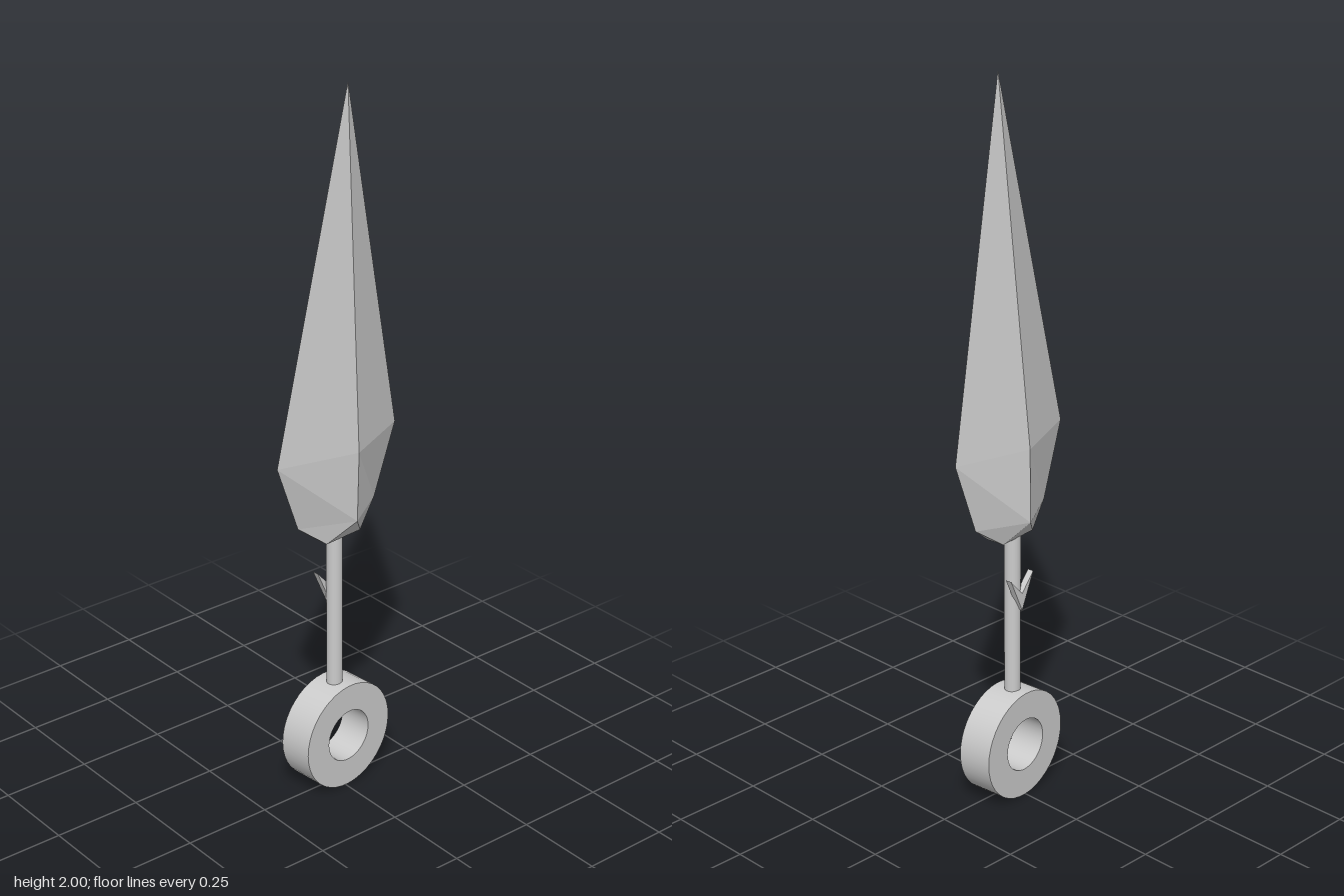
import * as THREE from 'three';
import { toCreasedNormals } from 'three/addons/utils/BufferGeometryUtils.js';

const TWIST = 0.095; // whole knife is turned slightly about y

// Diamond-section blade: tip, two diamond rings, then a rectangular base
function bladeGeometry() {
  // each ring runs +x ridge, +z edge, -x ridge, -z edge
  const tip = [0.035, 2, -0.008];
  const wide = [[0.077, 1.02, -0.013], [0.024, 1.02, 0.213], [-0.068, 1.02, 0.004], [-0.017, 1.02, -0.214]];
  const low = [[0.07, 0.82, -0.014], [0.008, 0.82, 0.135], [-0.079, 0.82, -0.004], [-0.018, 0.82, -0.145]];
  const base = [[0.031, 0.76, 0.057], [-0.021, 0.76, 0.062], [-0.034, 0.76, -0.06], [0.02, 0.76, -0.065]];
  const tris = [];
  for (let i = 0; i < 4; i++) {
    const j = (i + 1) % 4, p = (i + 3) % 4;
    tris.push(wide[i], tip, wide[j]);
    tris.push(low[i], wide[i], wide[j], low[i], wide[j], low[j]);
    tris.push(base[i], low[i], low[j], base[p], low[i], base[i]);
  }
  tris.push(base[0], base[1], base[2], base[0], base[2], base[3]);
  const g = new THREE.BufferGeometry();
  g.setAttribute('position', new THREE.Float32BufferAttribute(tris.flat(), 3));
  g.computeVertexNormals();
  return g;
}

// Flat-sided ring with its axis along x
function ringGeometry(outer, inner, half) {
  const profile = [[outer, -half], [outer, half], [inner, half], [inner, -half], [outer, -half]]
    .map(([r, y]) => new THREE.Vector2(r, y));
  const g = new THREE.LatheGeometry(profile, 40).rotateZ(Math.PI / 2);
  return toCreasedNormals(g, 0.6);
}

export function createModel() {
  const group = new THREE.Group();
  const smooth = new THREE.MeshStandardMaterial({ color: 0xcccccc });
  const faceted = new THREE.MeshStandardMaterial({ color: 0xcccccc, flatShading: true });

  const add = (name, geometry, material, x, y, z) => {
    const mesh = new THREE.Mesh(geometry, material);
    mesh.name = name;
    mesh.position.set(x, y, z);
    group.add(mesh);
    return mesh;
  };

  add('blade', bladeGeometry(), faceted, 0, 0, 0);

  // Handle rod, sunk a little into blade and ring
  add('handle', new THREE.CylinderGeometry(0.022, 0.022, 0.48, 24), smooth, -0.009, 0.535, -0.001);

  // Pommel ring
  add('pommelRing', ringGeometry(0.154, 0.075, 0.05), smooth, -0.009, 0.156, -0.006).rotation.y = TWIST;

  // Small chevron plate on the handle's -x side
  const chevron = new THREE.Shape([[0, 0.55], [0.046, 0.65], [0, 0.6], [-0.046, 0.65]]
    .map(([x, y]) => new THREE.Vector2(x, y)));
  const plate = new THREE.ExtrudeGeometry(chevron, { depth: 0.018, bevelEnabled: false }).rotateY(-Math.PI / 2);
  add('handleChevron', plate, faceted, -0.022, 0, 0.003).rotation.y = TWIST;

  return group;
}
